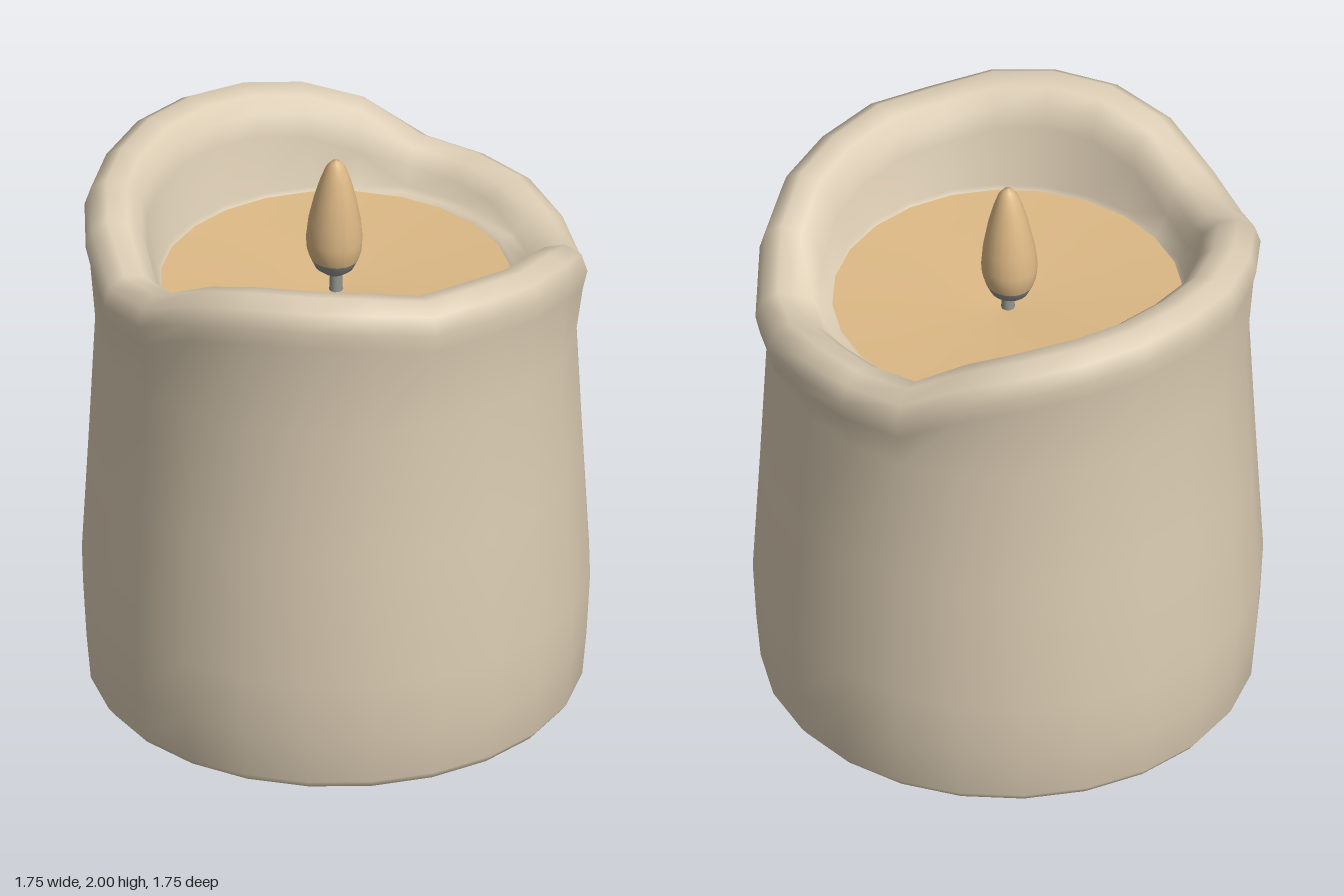
import * as THREE from 'three';

// Crest height of the melted rim, every 15 degrees from +x towards +z
const CREST = [
  1.62, 1.59, 1.72, 1.80, 1.83, 1.86, 1.86, 1.90, 1.91, 1.90, 1.85, 1.75,
  1.725, 1.83, 1.87, 1.88, 1.90, 1.90, 1.89, 1.86, 1.80, 1.68, 1.67, 1.66,
];
const SEGMENTS = CREST.length;

// Smooth closed surface from rings; profile(crest) lists [radius, height]
function ringSurface(profile) {
  const positions = [], indices = [];
  const rows = profile(0).length;
  for (let i = 0; i < rows; i++) {
    for (let j = 0; j < SEGMENTS; j++) {
      const angle = (j / SEGMENTS) * Math.PI * 2;
      const [r, y] = profile(CREST[j])[i];
      positions.push(r * Math.cos(angle), y, r * Math.sin(angle));
    }
  }
  for (let i = 0; i < rows - 1; i++) {
    for (let j = 0; j < SEGMENTS; j++) {
      const k = (j + 1) % SEGMENTS;
      const a = i * SEGMENTS + j, b = i * SEGMENTS + k;
      const c = a + SEGMENTS, d = b + SEGMENTS;
      indices.push(a, c, b, b, c, d);
    }
  }
  const geometry = new THREE.BufferGeometry();
  geometry.setAttribute('position', new THREE.Float32BufferAttribute(positions, 3));
  geometry.setIndex(indices);
  geometry.computeVertexNormals();
  return geometry;
}

function lathe(points, segments) {
  return new THREE.LatheGeometry(points.map(([r, y]) => new THREE.Vector2(r, y)), segments);
}

// Flame pieces bulge slightly backwards below the tip
function lean(geometry) {
  const p = geometry.attributes.position;
  for (let i = 0; i < p.count; i++) {
    const shift = 0.015 * Math.min(1, (2 - p.getY(i)) / 0.3);
    p.setXYZ(i, p.getX(i) * 0.95, p.getY(i), p.getZ(i) * 1.04 - shift);
  }
  geometry.computeVertexNormals();
  return geometry;
}

export function createModel() {
  const wax = new THREE.MeshStandardMaterial({ color: 0xdccdb4 });
  wax.name = 'cream wax';
  const amber = new THREE.MeshStandardMaterial({ color: 0xdcb885 });
  amber.name = 'warm amber';
  const grey = new THREE.MeshStandardMaterial({ color: 0x94938c });
  grey.name = 'wick grey';

  const group = new THREE.Group();
  group.name = 'candle';
  const add = (name, geometry, material) => {
    const mesh = new THREE.Mesh(geometry, material);
    mesh.name = name;
    group.add(mesh);
  };

  // Body: swelling wall, rolled wavy rim and the inner wall down to the pool
  add('waxBody', ringSurface((crest) => [
    [0.825, 0], [0.848, 0.03], [0.863, 0.2], [0.875, 0.42], [0.85, 0.9],
    [0.827, 1.38], [0.85, crest - 0.17], [0.866, crest - 0.1],
    [0.845, crest - 0.035], [0.79, crest], [0.72, crest - 0.015],
    [0.67, Math.max(crest - 0.06, 1.56)], [0.65, Math.max(crest - 0.14, 1.55)],
    [0.615, 1.545], [0.595, 1.525],
  ]), wax);

  // Flat underside
  const base = new THREE.CircleGeometry(0.825, SEGMENTS);
  base.rotateX(Math.PI / 2);
  add('base', base, wax);

  // Shallow melted pool
  add('waxPool', lathe([
    [0.61, 1.533], [0.45, 1.522], [0.25, 1.51], [0.1, 1.498], [0, 1.49],
  ].reverse(), SEGMENTS).scale(1, 1, 1), new THREE.MeshStandardMaterial());
  const pool = group.children[group.children.length - 1];
  pool.material = amber;
  // The pool faces upwards, so its corner order is reversed
  const index = pool.geometry.index.array;
  for (let i = 0; i < index.length; i += 3) {
    [index[i], index[i + 1]] = [index[i + 1], index[i]];
  }
  pool.geometry.computeVertexNormals();

  // Wick and flame
  add('wick', new THREE.CylinderGeometry(0.02, 0.024, 0.1, 10).translate(0, 1.53, 0), grey);
  add('flameBase', lean(lathe([[0, 1.55], [0.04, 1.557], [0.07, 1.58], [0.087, 1.615]], 20)), grey);
  add('flame', lean(lathe([
    [0.087, 1.615], [0.098, 1.65], [0.101, 1.69], [0.094, 1.76], [0.075, 1.85],
    [0.055, 1.92], [0.036, 1.97], [0.018, 1.993], [0, 2],
  ], 20)), amber);

  return group;
}
